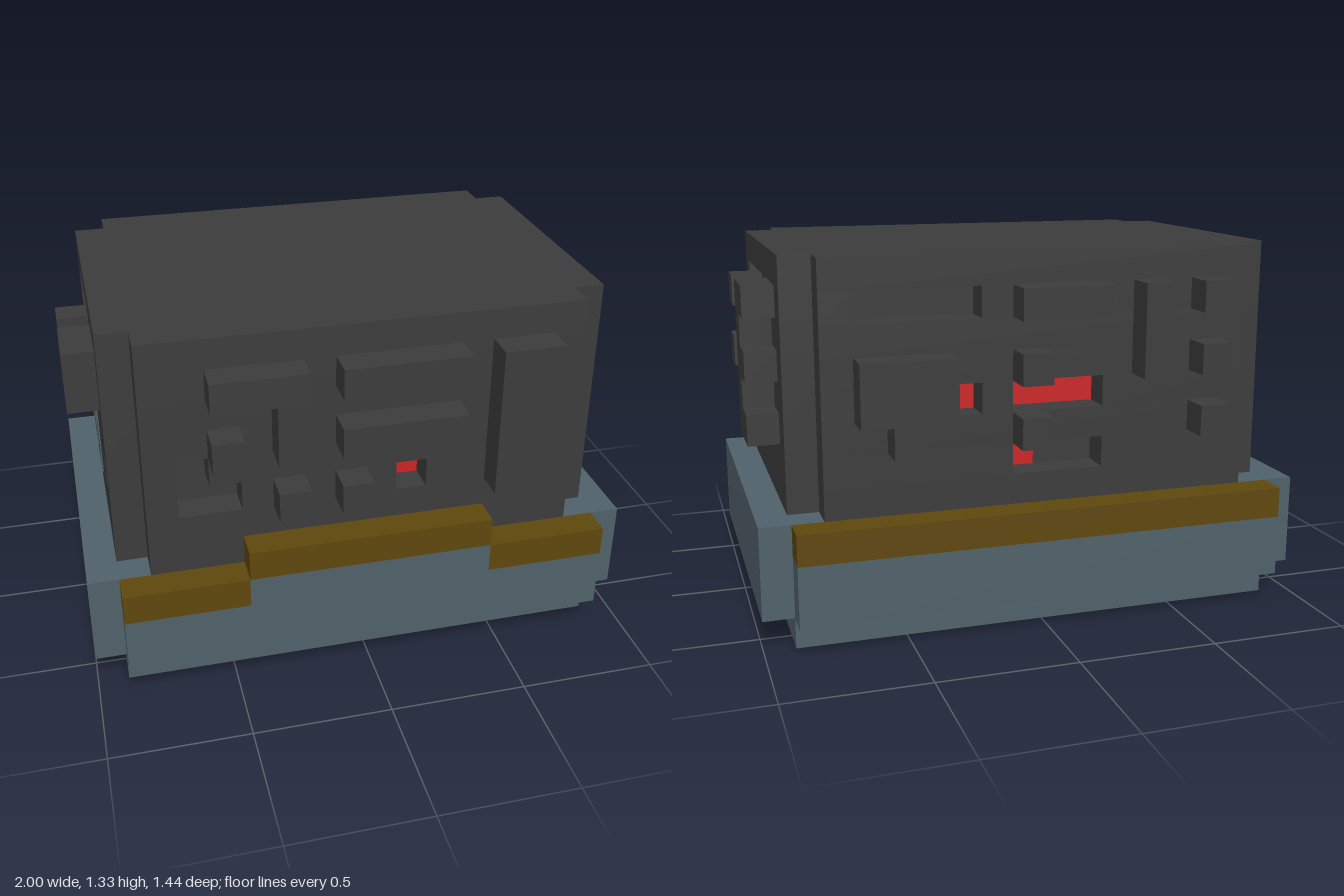
import * as THREE from 'three';
import { mergeGeometries } from 'three/addons/utils/BufferGeometryUtils.js';

const U = 1 / 9; // one block
const SIDES = [-1, 1];

const mat = (name, color) => {
  const m = new THREE.MeshStandardMaterial({ color });
  m.name = name;
  return m;
};
const grey = mat('charcoal', 0x3c3c3c);
const slate = mat('slate', 0x50616a);
const brown = mat('brown', 0x5f470e);
const red = mat('red', 0xcc2525);
const green = mat('green', 0x10cf30);
const black = mat('black', 0x080808);

// Box geometry between two limits per axis, in blocks
function block(x0, x1, y0, y1, z0, z1) {
  return new THREE.BoxGeometry(Math.abs(x1 - x0) * U, Math.abs(y1 - y0) * U, Math.abs(z1 - z0) * U)
    .translate((x0 + x1) / 2 * U, (y0 + y1) / 2 * U, (z0 + z1) / 2 * U);
}

function add(parent, name, material, ...geometries) {
  const mesh = new THREE.Mesh(mergeGeometries(geometries), material);
  mesh.name = name;
  parent.add(mesh);
}

// One wall of the body, seen from outside: u runs to the right, y up.
// detail() receives raise, recess and paint, each placing a w by h block area.
function addWall(model, name, turn, half, depth, detail) {
  const wall = new THREE.Group();
  wall.name = name;
  wall.rotation.y = turn;
  model.add(wall);

  const face = depth + 1;
  const holes = [], raised = [];
  const plate = (label, material, u, y, w, h, z) =>
    add(wall, label, material, block(u, u + w, y, y + h, z, z + 0.04));

  detail({
    raise: (u, y, w = 1, h = 1) => raised.push(block(u, u + w, y, y + h, face, face + 1)),
    recess: (u, y, w = 1, h = 1, light = null) => {
      holes.push({ u, y, w, h });
      if (light) plate(light.name + 'Light', light, u, y, w, h, depth);
    },
    paint: (u, y, w, h, material) => plate('window', material, u, y, w, h, face),
  });

  // Rows of wall, broken where recesses cut through
  const rows = [];
  for (let y = 4; y < 12; y++) {
    let start = -half;
    const cuts = holes.filter(c => c.y <= y && c.y + c.h > y).sort((a, b) => a.u - b.u);
    for (const c of cuts) {
      if (c.u > start) rows.push(block(start, c.u, y, y + 1, depth, face));
      start = c.u + c.w;
    }
    rows.push(block(start, half, y, y + 1, depth, face));
  }
  add(wall, 'wallPanel', grey, ...rows);
  add(wall, 'raisedBlocks', grey, ...raised);
}

function addBody(model) {
  add(model, 'bodyCore', grey, block(-7, 7, 4, 12, -4.5, 4.5));

  addWall(model, 'frontWall', 0, 7, 4.5, ({ raise, recess }) => {
    raise(-5, 10, 3);             // hooked bar
    raise(-3, 8, 1, 2);
    for (const y of [8, 10]) raise(-1, y, 4);
    raise(4, 6, 2, 5);            // tall panel
    raise(-5, 8);
    for (const u of [-3, -1]) raise(u, 6);
    recess(-6, 6, 1, 2);          // L-shaped recess
    recess(-5, 6);
    recess(1, 6, 1, 1, red);
  });

  addWall(model, 'leftWall', Math.PI / 2, 4.5, 7, ({ raise, recess }) => {
    raise(1.5, 6, 1, 5);          // comb: post with three teeth
    for (const y of [6, 8, 10]) raise(2.5, y);
    for (const y of [8, 10]) raise(-0.5, y);
    recess(-3.5, 10);
    recess(-2.5, 10, 2, 1, green);
    recess(-3.5, 8, 3, 1, green);
    recess(-2.5, 6, 1, 1, red);
    recess(-0.5, 6);
    recess(-3.5, 5);
  });

  addWall(model, 'backWall', Math.PI, 7, 4.5, ({ raise, recess }) => {
    raise(-6, 7, 3, 2);           // wide block with a foot
    raise(-5, 6);
    raise(-1, 10, 3);
    for (const y of [6, 8]) raise(-1, y);
    raise(3, 8, 1, 3);            // post beside a column of cubes
    for (const y of [6, 8, 10]) raise(5, y);
    recess(-6, 10, 4);
    recess(-3, 7, 1, 1, red);
    recess(-1, 7, 3, 1, red);
    recess(-1, 5, 1, 1, red);
    recess(0, 5, 2);
  });

  addWall(model, 'rightWall', -Math.PI / 2, 4.5, 7, ({ raise, recess, paint }) => {
    raise(-2.5, 9);
    raise(1.5, 9, 2, 2);
    recess(-3.5, 10, 3);
    recess(-0.5, 10, 1, 1, red);
    recess(-3.5, 8, 4);
    recess(2.5, 6);
    for (const u of [-2.5, -0.5]) paint(u, 5, 1, 2, slate);
  });
}

function addBase(model) {
  // Bottom plate around a stepped opening, mirrored in x and z
  const bottom = [];
  for (const s of SIDES) {
    bottom.push(block(s * 3, s * 8, 0, 1, -5.5, 5.5));
    bottom.push(block(-3, 3, 0, 1, s * 4.5, s * 5.5));
    for (const t of SIDES) bottom.push(block(s * 2, s * 3, 0, 1, t * 3.5, t * 4.5));
  }
  add(model, 'bottomPlate', slate, ...bottom);
  add(model, 'openingCeiling', black, block(-3, 3, 0.96, 1, -4.5, 4.5));

  // Middle tier with a skirt on every side; the right skirt has a low notch
  add(model, 'baseTier', slate, block(-8, 8, 1, 4, -5.5, 5.5));
  add(model, 'leftSkirt', slate, block(8, 9, 1, 4, -5.5, 5.5));
  add(model, 'rightSkirt', slate, block(-9, -8, 2, 4, -5.5, 5.5),
    block(-9, -8, 1, 2, -5.5, -4.5), block(-9, -8, 1, 2, 0.5, 5.5));
  add(model, 'sidePeg', grey, block(-9, -8, 0, 2, -0.5, 0.5));
  add(model, 'frontSkirt', slate, block(-8, 8, 1, 3, 5.5, 6.5), block(-4, 4, 3, 4, 5.5, 6.5));
  add(model, 'backSkirt', slate, block(-8, 8, 1, 3, -6.5, -5.5));

  // Brown trim, stepping up in the middle of the front
  add(model, 'frontTrim', brown, block(-4, 4, 4, 5, 5.5, 6.5),
    ...SIDES.map(s => block(s * 4, s * 8, 3, 4, 5.5, 6.5)));
  add(model, 'backTrim', brown, block(-8, 8, 3, 4, -6.5, -5.5));
}

export function createModel() {
  const model = new THREE.Group();
  model.name = 'machineBlock';
  addBody(model);
  addBase(model);
  return model;
}
